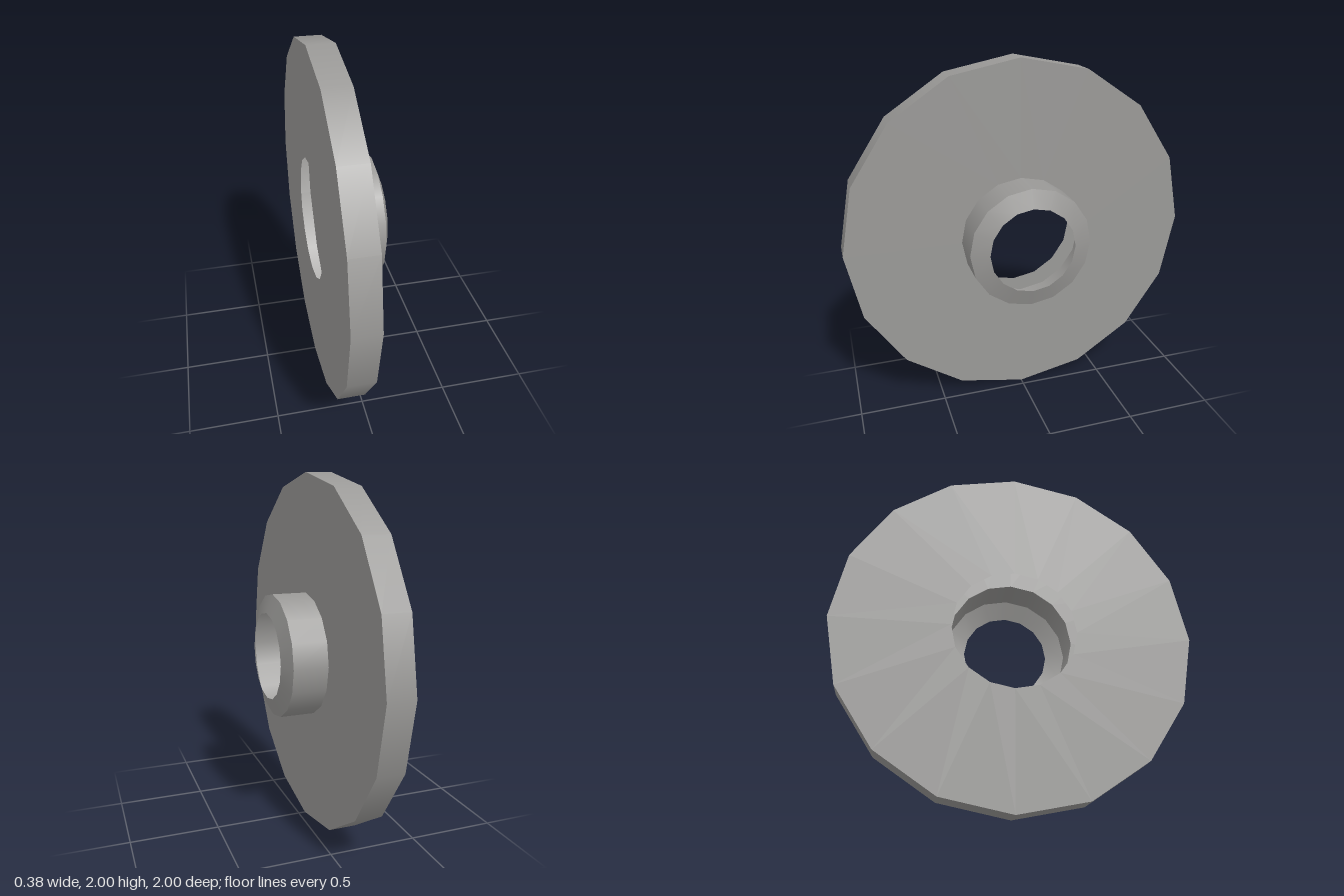
import * as THREE from 'three';

const SIDES = 16;
const material = new THREE.MeshStandardMaterial({ color: 0x9a9997, side: THREE.DoubleSide });

// One ring-shaped surface around the x axis, from (radius, x) to (radius, x):
// smooth around the axis, with a sharp edge to its neighbours.
function band(name, r0, x0, r1, x1) {
  const profile = [new THREE.Vector2(r0, x0), new THREE.Vector2(r1, x1)];
  const geometry = new THREE.LatheGeometry(profile, SIDES);
  geometry.rotateZ(-Math.PI / 2);
  const mesh = new THREE.Mesh(geometry, material);
  mesh.name = name;
  return mesh;
}

export function createModel() {
  const back = -0.191, face = -0.04, shoulder = 0.155, tip = 0.191;
  const discR = 1, hubR = 0.348, boreR = 0.245;

  // Hollow disc, open in the middle
  const disc = new THREE.Group();
  disc.name = 'disc';
  disc.add(
    band('discBack', hubR, back, discR, back),
    band('discRim', discR, back, discR, face),
    band('discFace', discR, face, hubR, face)
  );

  // Open collar with a bevelled lip
  const hub = new THREE.Group();
  hub.name = 'hub';
  hub.add(
    band('hubCollar', hubR, face, hubR, shoulder),
    band('hubLip', hubR, shoulder, boreR, tip)
  );

  const model = new THREE.Group();
  model.name = 'flangedDisc';
  model.add(disc, hub);
  disc.position.y = hub.position.y = 1;
  return model;
}
